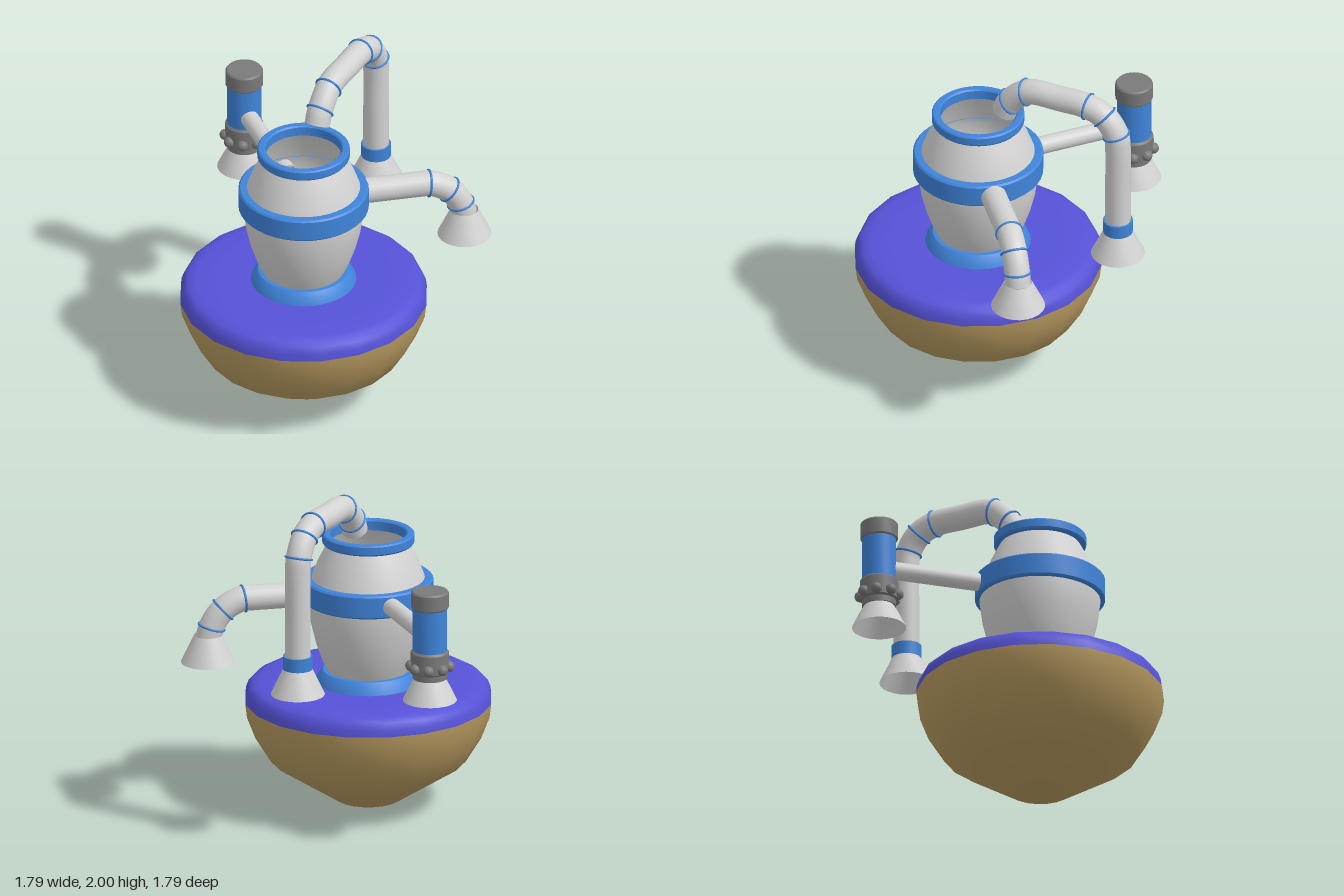
import * as THREE from 'three';
import { toCreasedNormals } from 'three/addons/utils/BufferGeometryUtils.js';

const paint = (name, color, side = THREE.FrontSide) => {
  const m = new THREE.MeshStandardMaterial({ color, side });
  m.name = name;
  return m;
};

export function createModel() {
  const model = new THREE.Group();
  const shell = paint('light grey', 0xd2d2d2, THREE.DoubleSide);
  const blue = paint('blue', 0x3f84da);
  const grey = paint('dark grey', 0x7a7a7a);
  const purple = paint('purple', 0x5652d8);
  const tan = paint('tan', 0xb89b60);
  const cz = 0.17; // axis of the base and barrel

  const add = (name, geo, mat, parent = model) => {
    const mesh = new THREE.Mesh(geo, mat);
    mesh.name = name;
    parent.add(mesh);
    return mesh;
  };
  // Profile points are [radius, height], running upward on the outside
  const lathe = (name, pts, mat, segs = 40, parent = model, z = cz) => {
    const geo = new THREE.LatheGeometry(pts.map(p => new THREE.Vector2(...p)), segs);
    const mesh = add(name, toCreasedNormals(geo, 0.6), mat, parent);
    mesh.position.z = z;
    return mesh;
  };
  const pipe = (name, pts, r, parent) => {
    const path = new THREE.CurvePath();
    path.curves = [];
    const curve = new THREE.CatmullRomCurve3(pts, false, 'centripetal');
    return add(name, new THREE.TubeGeometry(curve, 64, r, 24), shell, parent);
  };
  const ring = (p, dir, parent) => {
    const mesh = add('pipeRing', new THREE.TorusGeometry(0.077, 0.007, 8, 28), blue, parent);
    mesh.position.copy(p);
    mesh.quaternion.setFromUnitVectors(new THREE.Vector3(0, 0, 1), dir.clone().normalize());
  };
  const nozzle = (parent, x, z, top, r) => {
    const mesh = lathe('bellNozzle', [[0.158, 0.94], [0.12, 1.02], [r, top]], shell, 24, parent, z);
    mesh.position.x = x;
  };

  // Rounded base with a coloured top
  lathe('baseBowl', [[0, 0.005], [0.19, 0.035], [0.39, 0.165], [0.575, 0.285], [0.665, 0.43],
    [0.715, 0.56], [0.725, 0.64]], tan, 20);
  lathe('baseTop', [[0.725, 0.64], [0.72, 0.68], [0.705, 0.72], [0.68, 0.742], [0.63, 0.754],
    [0.5, 0.757], [0, 0.757]], purple, 20);

  // Open barrel with foot, band and rim
  lathe('barrelFoot', [[0.31, 0.75], [0.3, 0.775], [0.272, 0.822], [0.265, 0.828], [0, 0.828]], blue);
  lathe('barrelBody', [[0.236, 0.82], [0.27, 0.89], [0.305, 0.99], [0.335, 1.11], [0.353, 1.25],
    [0.347, 1.34], [0.33, 1.39], [0.3, 1.47], [0.262, 1.55], [0.23, 1.61]], shell);
  lathe('barrelBand', [[0.33, 1.25], [0.37, 1.25], [0.38, 1.26], [0.38, 1.38], [0.37, 1.39],
    [0.325, 1.39]], blue);
  lathe('barrelRim', [[0.222, 1.6], [0.262, 1.6], [0.27, 1.61], [0.27, 1.655], [0.262, 1.663],
    [0.23, 1.663], [0.222, 1.655], [0.222, 1.6]], blue);

  // Rear pipe curving over the barrel mouth
  const rear = new THREE.Group();
  rear.name = 'rearPipe';
  model.add(rear);
  const yz = (z, y) => new THREE.Vector3(0, y, z);
  pipe('overheadPipe', [yz(-0.735, 1.09), yz(-0.735, 1.4), yz(-0.735, 1.68), yz(-0.724, 1.77),
    yz(-0.65, 1.875), yz(-0.54, 1.917), yz(-0.35, 1.917), yz(-0.2, 1.915), yz(-0.14, 1.897),
    yz(-0.035, 1.8), yz(0, 1.725)], 0.075, rear);
  ring(yz(-0.724, 1.77), yz(0.3, 1), rear);
  ring(yz(-0.65, 1.875), yz(1, 0.9), rear);
  ring(yz(-0.54, 1.917), yz(1, 0.1), rear);
  ring(yz(-0.14, 1.897), yz(1, -0.37), rear);
  ring(yz(-0.035, 1.8), yz(0.75, -0.65), rear);
  const cuff = add('pipeCuff', new THREE.CylinderGeometry(0.087, 0.087, 0.08, 28), blue, rear);
  cuff.position.set(0, 1.135, -0.735);
  nozzle(rear, 0, -0.735, 1.1, 0.083);

  // Side pipe bending down to a nozzle; s is the distance from the barrel axis
  const side = new THREE.Group();
  side.name = 'sidePipe';
  model.add(side);
  const at = (s, y) => new THREE.Vector3(0.767 * s, y, cz - 0.642 * s);
  const dir = (s, y) => new THREE.Vector3(0.767 * s, y, -0.642 * s);
  pipe('bentPipe', [at(0.33, 1.313), at(0.55, 1.313), at(0.7, 1.313), at(0.76, 1.31),
    at(0.87, 1.25), at(0.935, 1.155), at(0.957, 1.08)], 0.075, side);
  ring(at(0.745, 1.312), dir(1, -0.12), side);
  ring(at(0.868, 1.252), dir(0.75, -0.7), side);
  ring(at(0.936, 1.152), dir(0.28, -1), side);
  nozzle(side, 0.735, -0.445, 1.105, 0.08);

  // Canister on a straight arm
  const can = new THREE.Group();
  can.name = 'canister';
  model.add(can);
  const [kx, kz] = [-0.735, -0.483];
  pipe('canisterArm', [new THREE.Vector3(-0.2, 1.32, cz - 0.18), new THREE.Vector3(-0.45, 1.32, -0.23),
    new THREE.Vector3(kx, 1.32, kz)], 0.053, can);
  const drum = (name, pts, mat) => {
    lathe(name, pts, mat, 28, can, kz).position.x = kx;
  };
  drum('canisterBody', [[0.1, 1.23], [0.1, 1.52]], blue);
  drum('canisterCap', [[0, 1.505], [0.105, 1.505], [0.11, 1.512], [0.11, 1.6], [0.102, 1.61], [0, 1.61]], grey);
  drum('canisterCollar', [[0, 1.075], [0.1, 1.075], [0.1, 1.11], [0.112, 1.12], [0.112, 1.235],
    [0.102, 1.247], [0, 1.247]], grey);
  for (let i = 0; i < 8; i++) {
    const a = (i + 0.5) * Math.PI / 4;
    const knob = add('collarKnob', new THREE.SphereGeometry(0.033, 16, 10), grey, can);
    knob.position.set(kx + 0.112 * Math.sin(a), 1.148, kz + 0.112 * Math.cos(a));
  }
  nozzle(can, kx, kz, 1.08, 0.088);

  return model;
}
